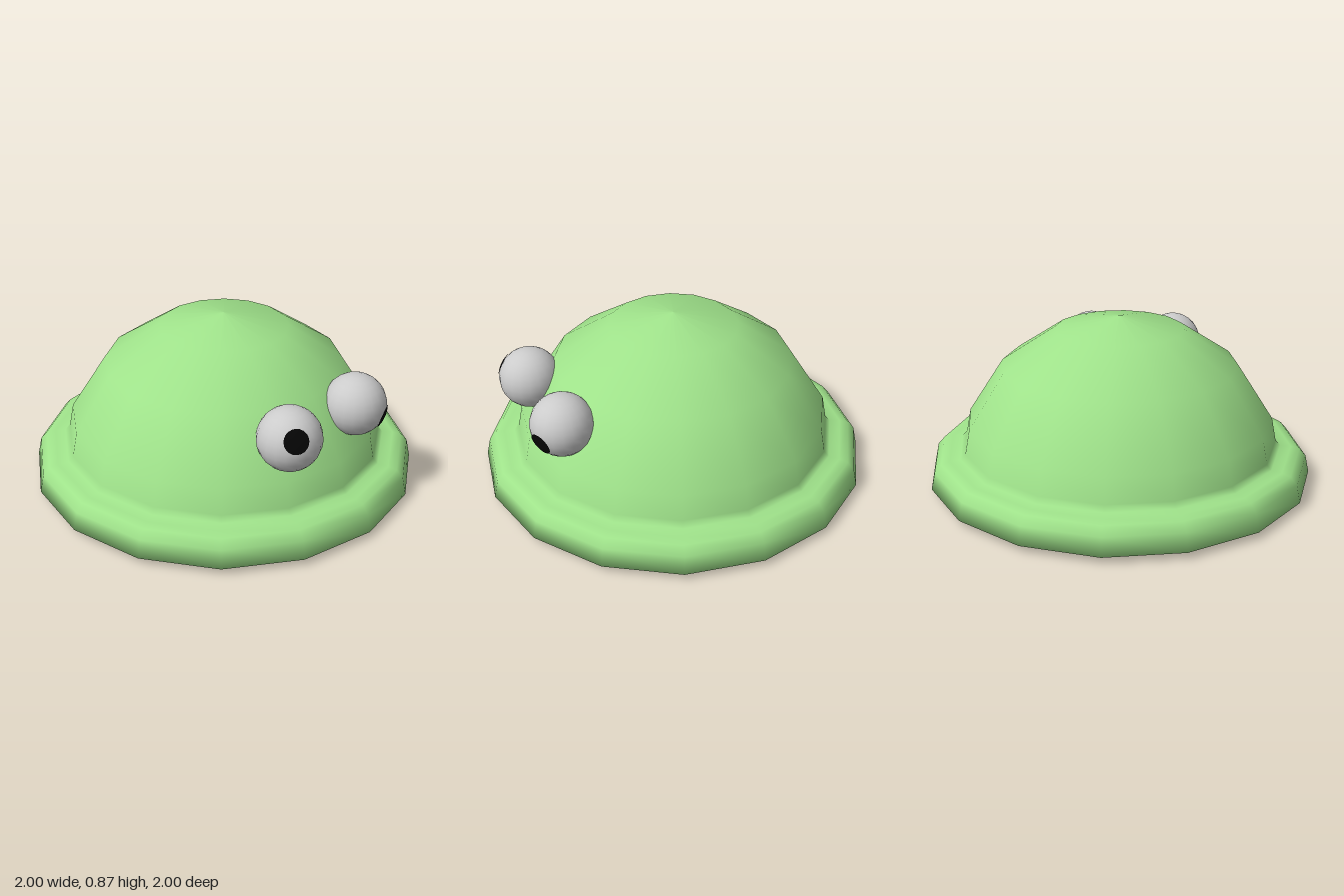
import * as THREE from 'three';

const material = (color) => new THREE.MeshStandardMaterial({ color });

// Dome with a rolled rim and a flat underside, 16 sides
function makeBody() {
  const profile = [
    [0, 0], [0.8, 0], [0.86, 0.005], [1, 0.035], [0.98, 0.125], [0.945, 0.165],
    [0.9, 0.175], [0.845, 0.178], [0.82, 0.205], [0.795, 0.33],
    [0.61, 0.615], [0.33, 0.8], [0, 0.865],
  ].map(([r, y]) => new THREE.Vector2(r, y));
  const body = new THREE.Mesh(new THREE.LatheGeometry(profile, 16), material(0x9fe28a));
  body.name = 'body';
  return body;
}

// Ball eye whose pupil is a thin cap pointing along the gaze
function makeEye(name, x, gaze) {
  const radius = 0.156;
  const eye = new THREE.Group();
  eye.name = name;
  eye.position.set(x, 0.53, 0.69);

  const ball = new THREE.Mesh(new THREE.SphereGeometry(radius, 20, 14), material(0xcccccc));
  ball.name = 'eyeball';

  const cap = new THREE.SphereGeometry(radius + 0.003, 20, 5, 0, Math.PI * 2, 0, 0.38);
  const pupil = new THREE.Mesh(cap, material(0x050505));
  pupil.name = 'pupil';
  pupil.quaternion.setFromUnitVectors(
    new THREE.Vector3(0, 1, 0), new THREE.Vector3(...gaze).normalize());

  eye.add(ball, pupil);
  return eye;
}

export function createModel() {
  const model = new THREE.Group();
  model.name = 'domeCreature';
  model.add(
    makeBody(),
    makeEye('rightEye', -0.252, [-0.083, 0.062, 0.117]),
    makeEye('leftEye', 0.22, [0.06, -0.043, 0.137]),
  );
  return model;
}
